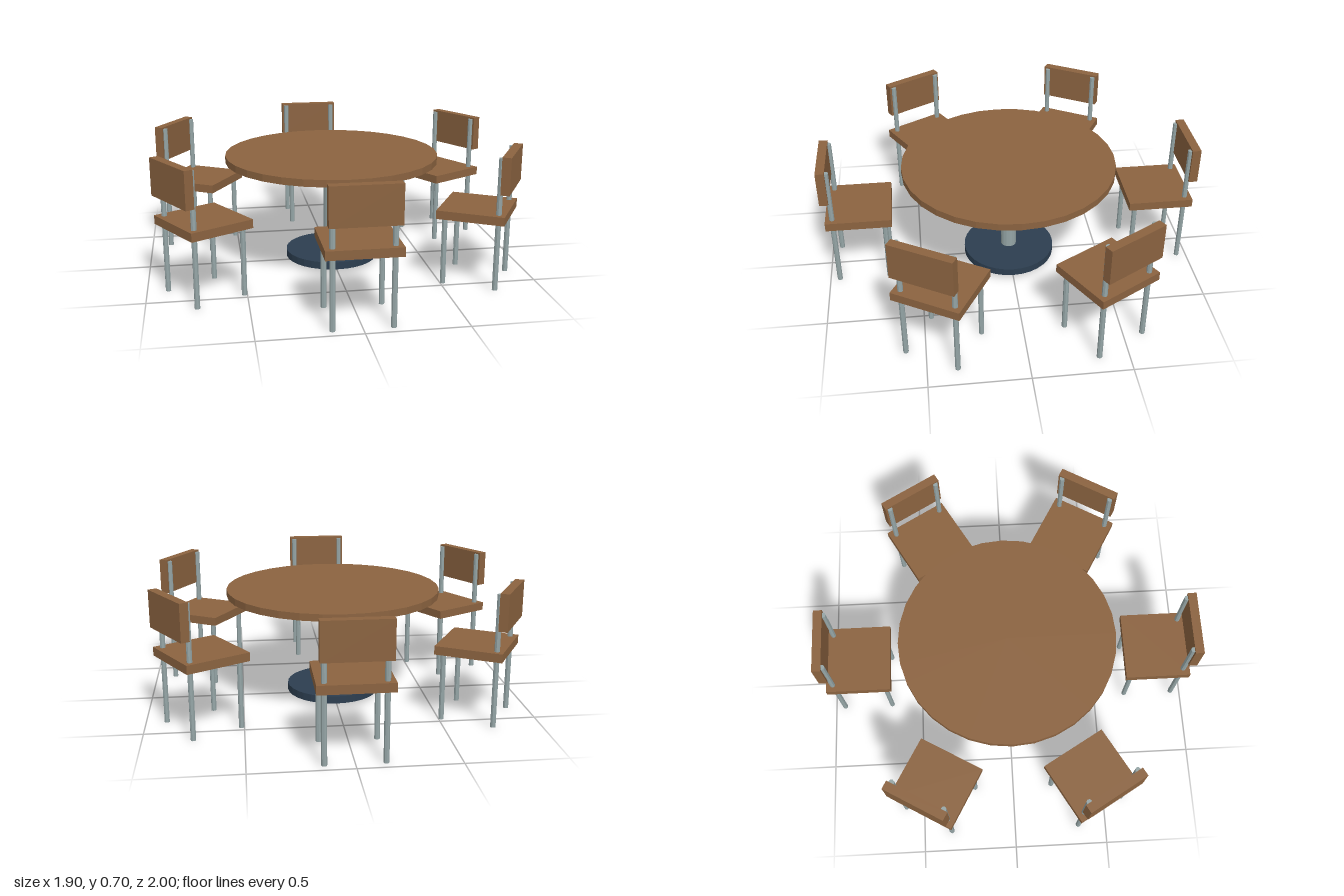
import * as THREE from 'three';

const wood = new THREE.MeshStandardMaterial({ name: 'brown wood', color: 0x8b6340 });
const metal = new THREE.MeshStandardMaterial({ name: 'grey metal', color: 0x95a5a6 });
const dark = new THREE.MeshStandardMaterial({ name: 'dark base', color: 0x2c3e50 });
for (const m of [wood, metal, dark]) m.flatShading = true;

function add(parent, name, geometry, material, x, y, z) {
  const mesh = new THREE.Mesh(geometry, material);
  mesh.name = name;
  mesh.position.set(x, y, z);
  parent.add(mesh);
}

// Upright cylinder between two heights
function column(parent, name, radius, y0, y1, sides, material, x = 0, z = 0) {
  const geometry = new THREE.CylinderGeometry(radius, radius, y1 - y0, sides);
  add(parent, name, geometry, material, x, (y0 + y1) / 2, z);
}

// Chair on the +z side, facing the table
function createChair() {
  const chair = new THREE.Group();
  chair.name = 'chair';
  add(chair, 'seat', new THREE.BoxGeometry(0.364, 0.045, 0.346), wood, 0, 0.378, 0.812);
  add(chair, 'backrest', new THREE.BoxGeometry(0.336, 0.192, 0.046), wood, 0, 0.605, 0.977);
  for (const side of [-1, 1]) {
    column(chair, 'frontLeg', 0.014, 0, 0.36, 8, metal, side * 0.144, 0.677);
    column(chair, 'backPost', 0.014, 0, 0.692, 8, metal, side * 0.144, 0.949);
  }
  return chair;
}

export function createModel() {
  const model = new THREE.Group();
  model.name = 'roundTableWithChairs';

  // Pedestal table
  const table = new THREE.Group();
  table.name = 'table';
  column(table, 'tableTop', 0.573, 0.57, 0.607, 32, wood);
  column(table, 'pedestal', 0.043, 0.06, 0.571, 16, metal);
  column(table, 'base', 0.25, 0.022, 0.062, 32, dark);
  model.add(table);

  // Six chairs in a ring
  for (let i = 0; i < 6; i++) {
    const chair = createChair();
    chair.rotation.y = (i * Math.PI) / 3;
    model.add(chair);
  }
  return model;
}
